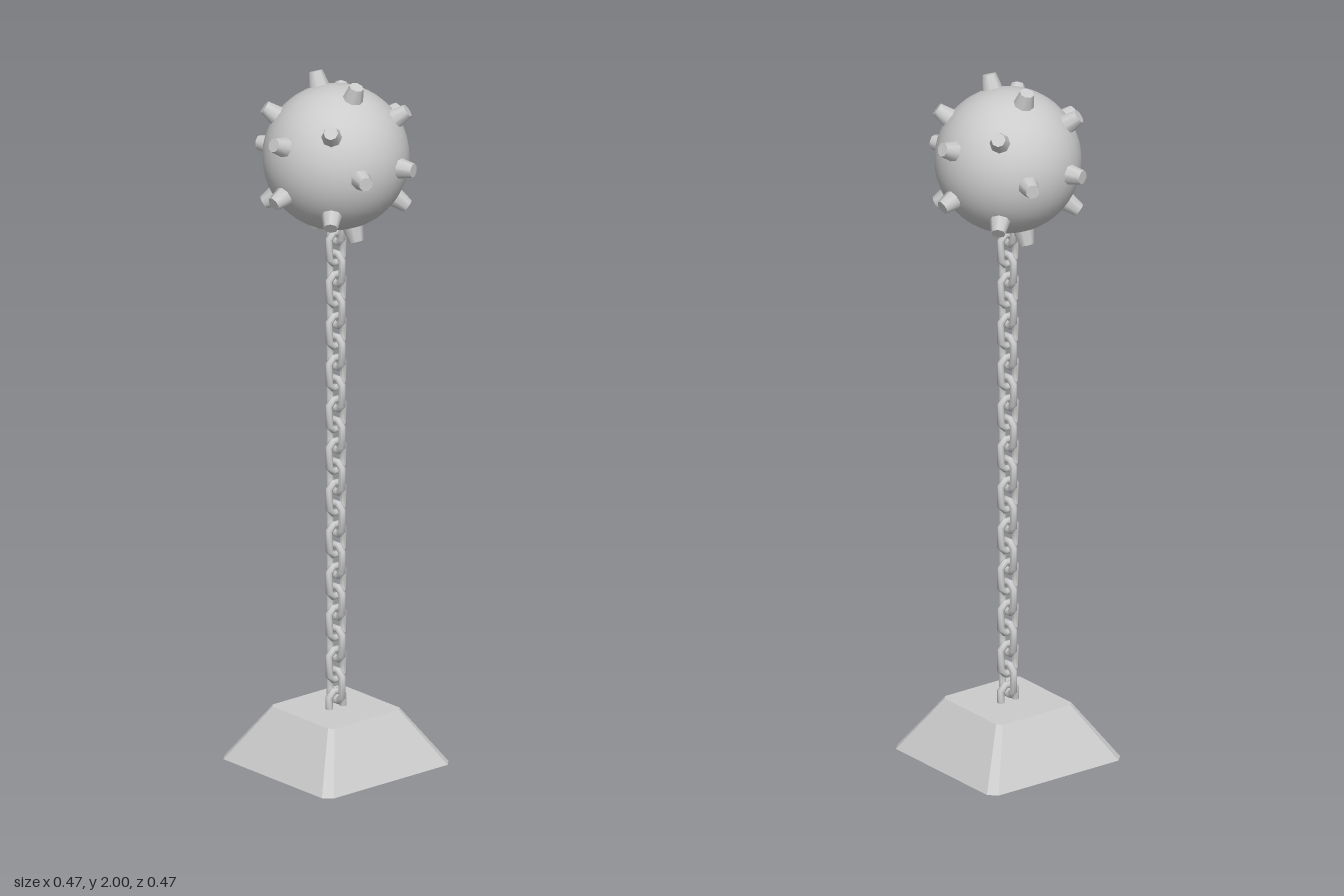
import * as THREE from 'three';

const material = new THREE.MeshStandardMaterial({ color: 0xcccccc });

function addMesh(parent, name, geometry) {
  const mesh = new THREE.Mesh(geometry, material);
  mesh.name = name;
  parent.add(mesh);
  return mesh;
}

// Tapered square block with chamfered corners
function baseGeometry(half, chamfer, height, topScale) {
  const inner = half - chamfer;
  const shape = new THREE.Shape([
    [half, -inner], [half, inner], [inner, half], [-inner, half],
    [-half, inner], [-half, -inner], [-inner, -half], [inner, -half],
  ].map(([x, y]) => new THREE.Vector2(x, y)));
  const geometry = new THREE.ExtrudeGeometry(shape, { depth: height, bevelEnabled: false });
  geometry.rotateX(-Math.PI / 2);
  const p = geometry.attributes.position;
  for (let i = 0; i < p.count; i++) {
    if (p.getY(i) > height / 2) p.setXYZ(i, p.getX(i) * topScale, height, p.getZ(i) * topScale);
  }
  geometry.computeVertexNormals();
  return geometry;
}

// Eight-sided ring pulled apart into a long link
function linkGeometry() {
  const geometry = new THREE.TorusGeometry(0.027, 0.0105, 8, 8);
  geometry.rotateZ(Math.PI / 8);
  const p = geometry.attributes.position;
  for (let i = 0; i < p.count; i++) p.setY(i, p.getY(i) + Math.sign(p.getY(i)) * 0.0185);
  return geometry;
}

// The twenty corner directions of a dodecahedron
function spikeDirections() {
  const phi = (1 + Math.sqrt(5)) / 2;
  const directions = [];
  for (const a of [-1, 1]) {
    for (const b of [-1, 1]) {
      directions.push([0, a * phi, b / phi], [a / phi, 0, b * phi], [a * phi, b / phi, 0]);
      for (const c of [-1, 1]) directions.push([a, b, c]);
    }
  }
  return directions.map((d) => new THREE.Vector3(...d).normalize());
}

export function createModel() {
  const model = new THREE.Group();
  model.name = 'tetheredSpikedBall';

  addMesh(model, 'anchorBase', baseGeometry(0.23, 0.023, 0.155, 0.565));

  // Chain: alternate links turned a quarter
  const chain = new THREE.Group();
  chain.name = 'chain';
  model.add(chain);
  const link = linkGeometry();
  for (let i = 0; i < 24; i++) {
    const mesh = addMesh(chain, 'chainLink', link);
    mesh.position.y = 0.159 + i * 0.061;
    mesh.rotation.y = (i % 2) * Math.PI / 2;
  }

  // Ball with blunt spikes
  const ball = new THREE.Group();
  ball.name = 'spikedBall';
  ball.position.y = 1.767;
  model.add(ball);
  addMesh(ball, 'ball', new THREE.SphereGeometry(0.203, 32, 24));

  const inner = 0.185, outer = 0.242;
  const spike = new THREE.CylinderGeometry(0.02, 0.032, outer - inner, 8);
  spike.translate(0, (inner + outer) / 2, 0);
  const up = new THREE.Vector3(0, 1, 0);
  for (const direction of spikeDirections()) {
    addMesh(ball, 'spike', spike).quaternion.setFromUnitVectors(up, direction);
  }

  return model;
}
